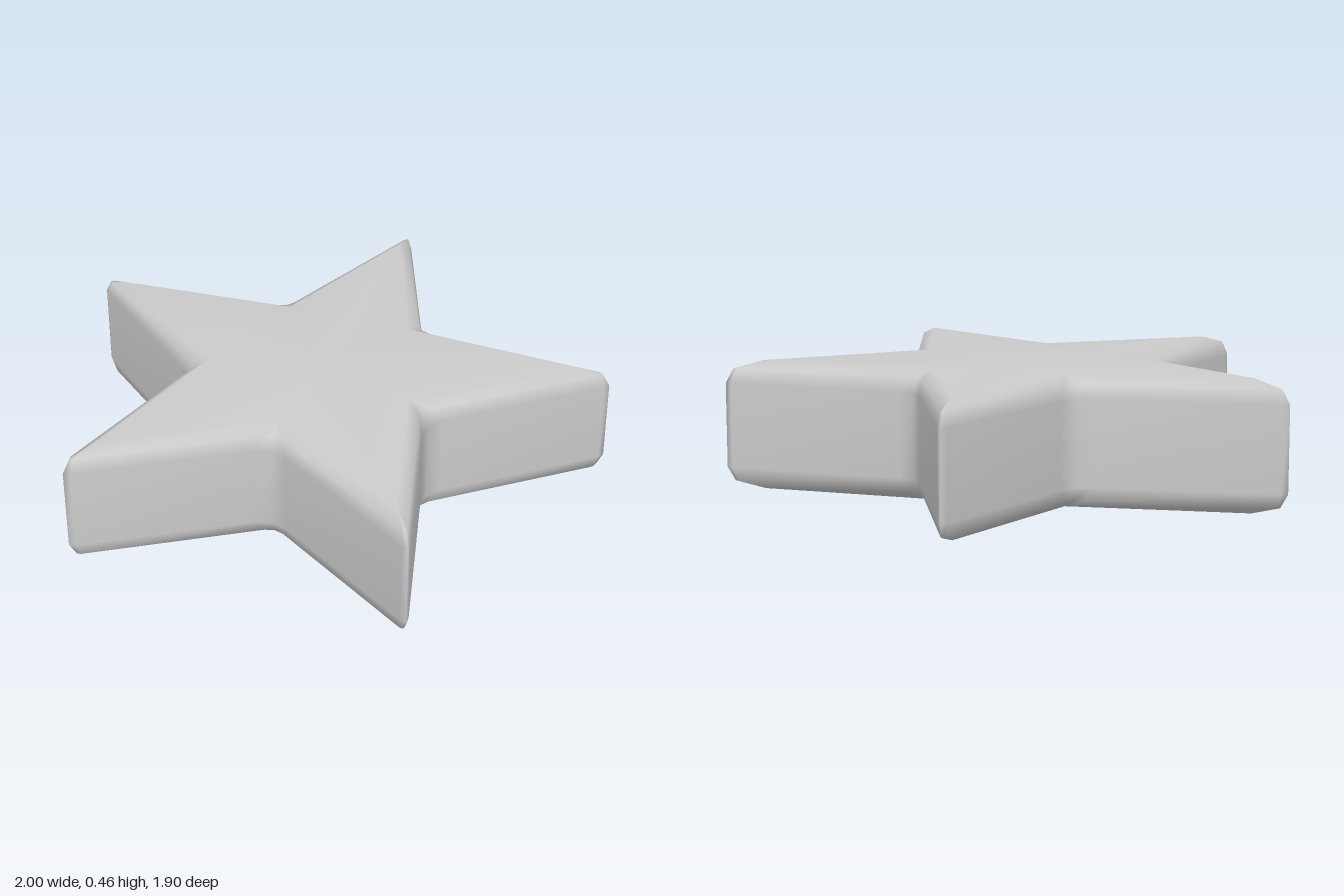
import * as THREE from 'three';
import { mergeVertices } from 'three/addons/utils/BufferGeometryUtils.js';

const HEIGHT = 0.463;
const CENTRE_Z = -0.107;

// Lower half of the section, from the cap's centre out to the side wall.
// Each corner has a middle radius, a radius for its two side points and their sideways spread.
const lowerRings = [
  { y: 0, tip: [0, 0, 0], notch: [0, 0, 0] },
  { y: 0, tip: [0.915, 0.915, 0], notch: [0.399, 0.399, 0] },
  { y: 0.03, tip: [1.022, 1.012, 0.01], notch: [0.464, 0.474, 0.035] },
  { y: 0.08, tip: [1.05, 1.031, 0.015], notch: [0.488, 0.504, 0.06] },
];

// Outline of one ring: five tips and five notches, three points at each corner
function ringPoints({ y, tip, notch }) {
  const points = [];
  for (let i = 0; i < 10; i++) {
    const angle = (i * Math.PI) / 5;
    const [middle, side, spread] = i % 2 ? notch : tip;
    const s = Math.sin(angle), c = Math.cos(angle);
    for (const [r, t] of [[side, -spread], [middle, 0], [side, spread]]) {
      points.push(r * s + t * c, y, CENTRE_Z + r * c - t * s);
    }
  }
  return points;
}

function starGeometry() {
  const upperRings = lowerRings.map((ring) => ({ ...ring, y: HEIGHT - ring.y })).reverse();
  const rings = [...lowerRings, ...upperRings];
  const count = 30;
  const index = [];
  for (let j = 0; j < rings.length - 1; j++) {
    for (let i = 0; i < count; i++) {
      const a = j * count + i, b = j * count + ((i + 1) % count);
      index.push(a, b, b + count, a, b + count, a + count);
    }
  }
  const geometry = new THREE.BufferGeometry();
  geometry.setAttribute('position', new THREE.Float32BufferAttribute(rings.flatMap(ringPoints), 3));
  geometry.setIndex(index);
  // Weld the coinciding points so the rounded edges shade smoothly
  const welded = mergeVertices(geometry, 1e-5);
  welded.computeVertexNormals();
  return welded;
}

export function createModel() {
  const group = new THREE.Group();
  group.name = 'star';
  const body = new THREE.Mesh(starGeometry(), new THREE.MeshStandardMaterial({ color: 0xcccccc }));
  body.name = 'starBody';
  group.add(body);
  return group;
}
